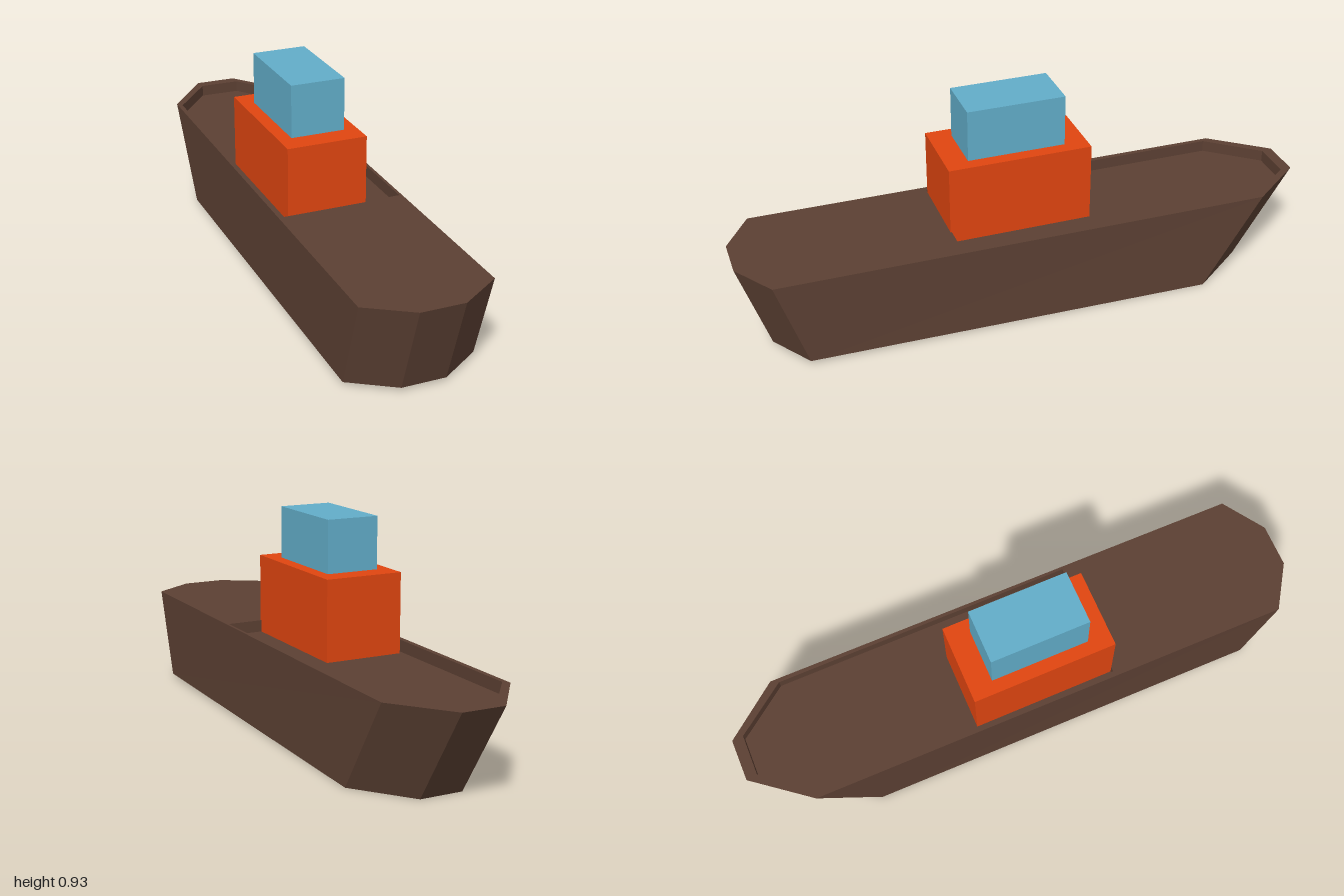
import * as THREE from 'three';

const RIM_Y = 0.407, WELL_Y = 0.355;

const hullBrown = new THREE.MeshStandardMaterial({ color: 0x5c4033 });
const cabinOrange = new THREE.MeshStandardMaterial({ color: 0xe04510 });
const bridgeBlue = new THREE.MeshStandardMaterial({ color: 0x62adc9 });
hullBrown.name = 'hullBrown';
cabinOrange.name = 'cabinOrange';
bridgeBlue.name = 'bridgeBlue';

// Plan outlines as [x, z], clockwise seen from above
const rim = [
  [-0.847, -1.0], [-0.545, -0.96], [0.971, 0.6], [0.926, 0.817],
  [0.79, 0.95], [0.571, 0.995], [-0.947, -0.563], [-0.981, -0.87],
];
const well = [
  [-0.81, -0.966], [-0.534, -0.923], [0.405, 0.035],
  [0.035, 0.41], [-0.915, -0.56], [-0.942, -0.84],
];

const at = (outline, y) => outline.map(([x, z]) => new THREE.Vector3(x, y, z));

// The keel tapers in at both ends, more strongly at the stern
const keel = rim.map(([x, z]) => {
  const bow = x + z > 0;
  const shift = bow ? -0.09 : 0.185;
  return new THREE.Vector3(x + shift, bow ? 0.016 : 0, z + shift);
});

function mesh(name, geometry, material) {
  const m = new THREE.Mesh(geometry, material);
  m.name = name;
  return m;
}

function facets(points) {
  const g = new THREE.BufferGeometry().setFromPoints(points);
  g.computeVertexNormals();
  return g;
}

// Flat-sided wall between two loops
function band(upper, lower) {
  const pts = [];
  upper.forEach((u, i) => {
    const j = (i + 1) % upper.length;
    pts.push(u, upper[j], lower[j], u, lower[j], lower[i]);
  });
  return facets(pts);
}

function fan(loop) {
  const pts = [];
  for (let i = 1; i < loop.length - 1; i++) pts.push(loop[0], loop[i], loop[i + 1]);
  return facets(pts);
}

// Horizontal plate facing up, with an optional hole
function plate(outline, y, hole) {
  const flat = (o) => o.map(([x, z]) => new THREE.Vector2(x, -z));
  const shape = new THREE.Shape(flat(outline));
  if (hole) shape.holes.push(new THREE.Path(flat(hole)));
  return new THREE.ShapeGeometry(shape).rotateX(-Math.PI / 2).translate(0, y, 0);
}

// Box lying along the ship's diagonal axis
function block(name, length, width, y0, y1, material) {
  const m = mesh(name, new THREE.BoxGeometry(length, y1 - y0, width), material);
  m.position.set(-0.05, (y0 + y1) / 2, 0.049);
  m.rotation.y = -0.793;
  return m;
}

export function createModel() {
  const ship = new THREE.Group();
  ship.name = 'ship';

  // Hull shell
  const hull = new THREE.Group();
  hull.name = 'hull';
  hull.add(
    mesh('hullSides', band(at(rim, RIM_Y), keel), hullBrown),
    mesh('hullBottom', fan(keel), hullBrown),
    mesh('foredeckAndRim', plate(rim, RIM_Y, well), hullBrown),
    // Shallow well behind the foredeck
    mesh('wellWalls', band(at(well, WELL_Y), at(well, RIM_Y)), hullBrown),
    mesh('wellFloor', plate(well, WELL_Y), hullBrown),
  );
  ship.add(hull);

  // Superstructure
  ship.add(
    block('cabin', 0.634, 0.349, WELL_Y, 0.705, cabinOrange),
    block('bridge', 0.432, 0.235, 0.705, 0.933, bridgeBlue),
  );
  return ship;
}
